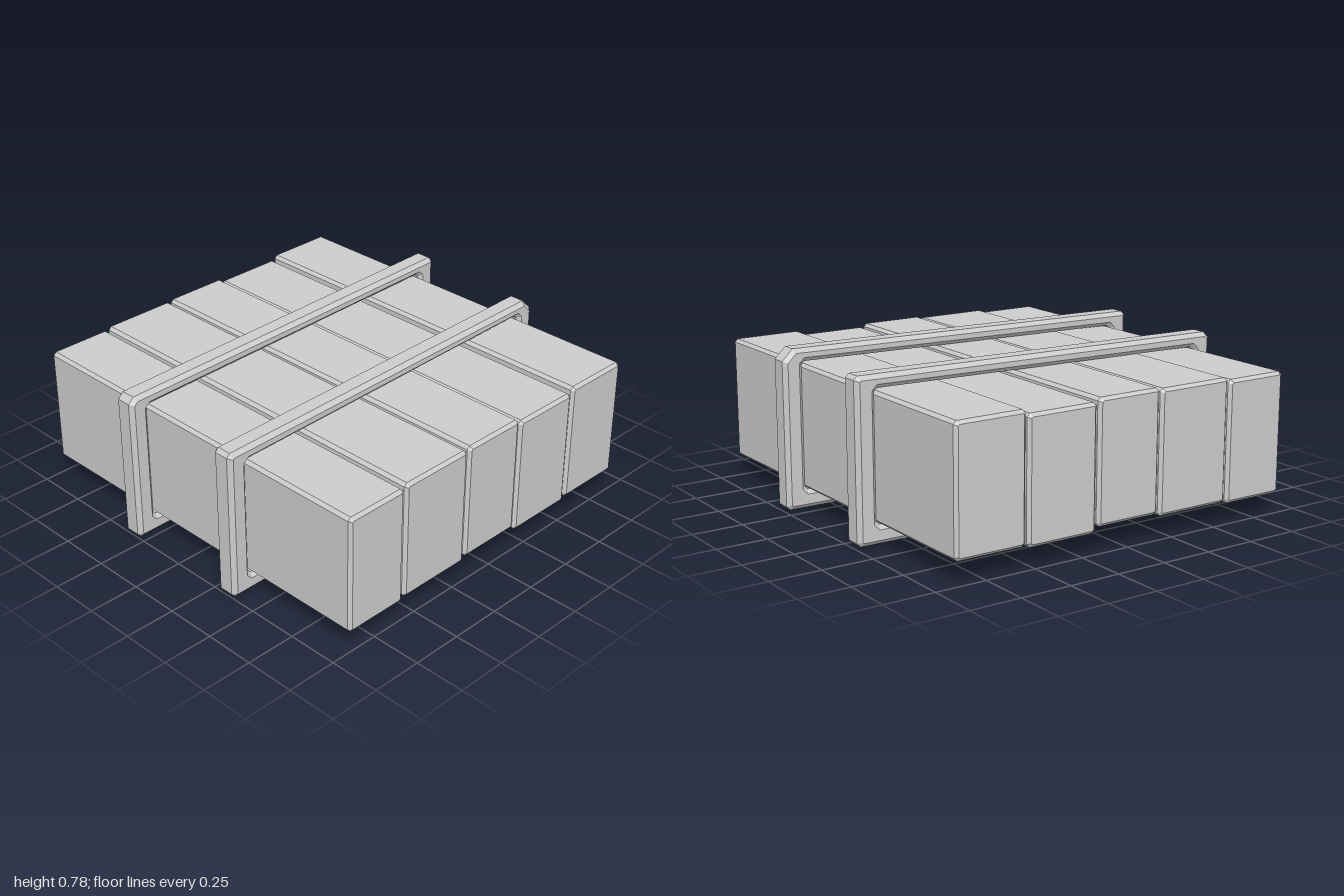
import * as THREE from 'three';

const material = new THREE.MeshStandardMaterial({ color: 0xcccccc, flatShading: true });

// Polygon points with every corner cut off by its own length
function cutCorners(corners, cuts) {
  const pts = [];
  corners.forEach(([x, y], i) => {
    const p = new THREE.Vector2(x, y);
    for (const step of [-1, 1]) {
      const n = corners[(i + step + corners.length) % corners.length];
      const dir = new THREE.Vector2(n[0], n[1]).sub(p).normalize();
      pts.push(p.clone().addScaledVector(dir, cuts[i]));
    }
  });
  return pts;
}

// Extrudes a shape between two z values, with chamfers kept inside the outline
function chamferedSolid(name, shape, z0, z1, bevel) {
  const geo = new THREE.ExtrudeGeometry(shape, {
    depth: z1 - z0 - 2 * bevel,
    bevelEnabled: true,
    bevelSegments: 1,
    bevelSize: bevel,
    bevelThickness: bevel,
    bevelOffset: -bevel,
  });
  geo.translate(0, 0, z0 + bevel);
  const mesh = new THREE.Mesh(geo, material);
  mesh.name = name;
  return mesh;
}

export function createModel() {
  const group = new THREE.Group();
  group.name = 'strappedBeams';

  // Five beams side by side: x0, x1, y0, y1
  const beams = [
    [-0.9, -0.575, 0.095, 0.677],
    [-0.567, -0.178, 0.105, 0.69],
    [-0.17, 0.166, 0.119, 0.697],
    [0.174, 0.536, 0.095, 0.68],
    [0.544, 0.9, 0.105, 0.702],
  ];
  beams.forEach(([x0, x1, y0, y1], i) => {
    const outline = cutCorners([[x0, y0], [x1, y0], [x1, y1], [x0, y1]], [0.015, 0.015, 0.015, 0.015]);
    group.add(chamferedSolid('beam' + (i + 1), new THREE.Shape(outline), -1, 1, 0.015));
  });

  // Two slightly tapered bands around the beams
  const outer = [[-1, 0], [1, 0.012], [1, 0.78], [-1, 0.748]];
  const inner = [[-0.902, 0.085], [0.902, 0.1], [0.902, 0.715], [-0.902, 0.682]];
  const addBand = (name, z, topLeftCut, topRightCut) => {
    const shape = new THREE.Shape(cutCorners(outer, [0.018, 0.018, topRightCut, topLeftCut]));
    shape.holes.push(new THREE.Path(cutCorners(inner, [0.015, 0.015, 0.015, 0.015]).reverse()));
    group.add(chamferedSolid(name, shape, z - 0.056, z + 0.056, 0.02));
  };
  addBand('frontBand', 0.328, 0.018, 0.055);
  addBand('backBand', -0.328, 0.028, 0.018);

  return group;
}
